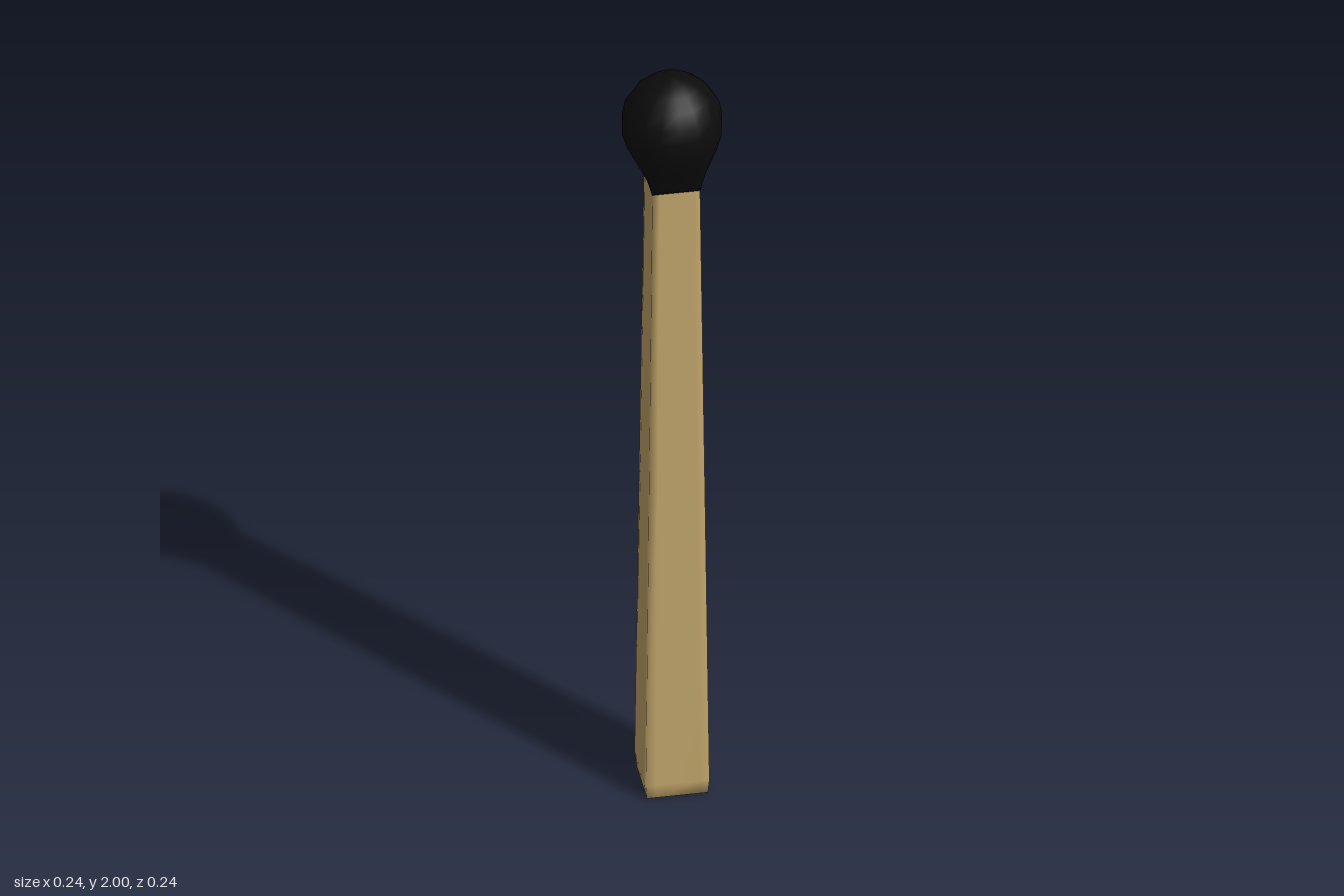
import * as THREE from 'three';

// Lofts rings [y, radius, squareness 0..1] through the given angles (degrees), bottom to top
function loft(rings, angles) {
  const n = angles.length, pos = [], index = [];
  for (const [y, r, square] of rings) {
    for (const deg of angles) {
      const a = THREE.MathUtils.degToRad(deg), c = Math.cos(a), s = Math.sin(a);
      const k = r * THREE.MathUtils.lerp(1, 1 / Math.max(Math.abs(c), Math.abs(s)), square);
      pos.push(k * c, y, k * s);
    }
  }
  for (let i = 0; i < rings.length - 1; i++) {
    for (let j = 0; j < n; j++) {
      const a = i * n + j, b = i * n + (j + 1) % n;
      if (rings[i][1] > 0) index.push(a, a + n, b);
      if (rings[i + 1][1] > 0) index.push(b, a + n, b + n);
    }
  }
  const geo = new THREE.BufferGeometry();
  geo.setAttribute('position', new THREE.Float32BufferAttribute(pos, 3));
  geo.setIndex(index);
  geo.computeVertexNormals();
  return geo;
}

export function createModel() {
  const group = new THREE.Group();
  const wood = new THREE.MeshStandardMaterial({ color: 0xc4a76c });
  wood.name = 'paleWood';
  const black = new THREE.MeshStandardMaterial({ color: 0x0c0c0c });
  black.name = 'black';

  // Tapered square stick with softened corners and a softened foot
  const stickAngles = [];
  for (let q = 0; q < 360; q += 90) stickAngles.push(q - 35, q + 35, q + 45);
  const stick = new THREE.Mesh(loft([
    [0, 0, 1], [0, 0.05, 1], [0.003, 0.073, 1], [0.04, 0.076, 1],
    [0.85, 0.067, 1], [1.71, 0.057, 1],
  ], stickAngles), wood);
  stick.name = 'stick';

  // Bulb head, square where it wraps the stick and round above
  const headAngles = Array.from({ length: 16 }, (_, i) => i * 22.5);
  const head = new THREE.Mesh(loft([
    [1.71, 0, 1], [1.71, 0.058, 1], [1.735, 0.067, 0.75], [1.77, 0.086, 0.35],
    [1.81, 0.107, 0.1], [1.85, 0.119, 0], [1.885, 0.12, 0], [1.92, 0.113, 0],
    [1.955, 0.092, 0], [1.98, 0.064, 0], [1.995, 0.032, 0], [2, 0, 0],
  ], headAngles), black);
  head.name = 'matchHead';

  group.add(stick, head);
  return group;
}
